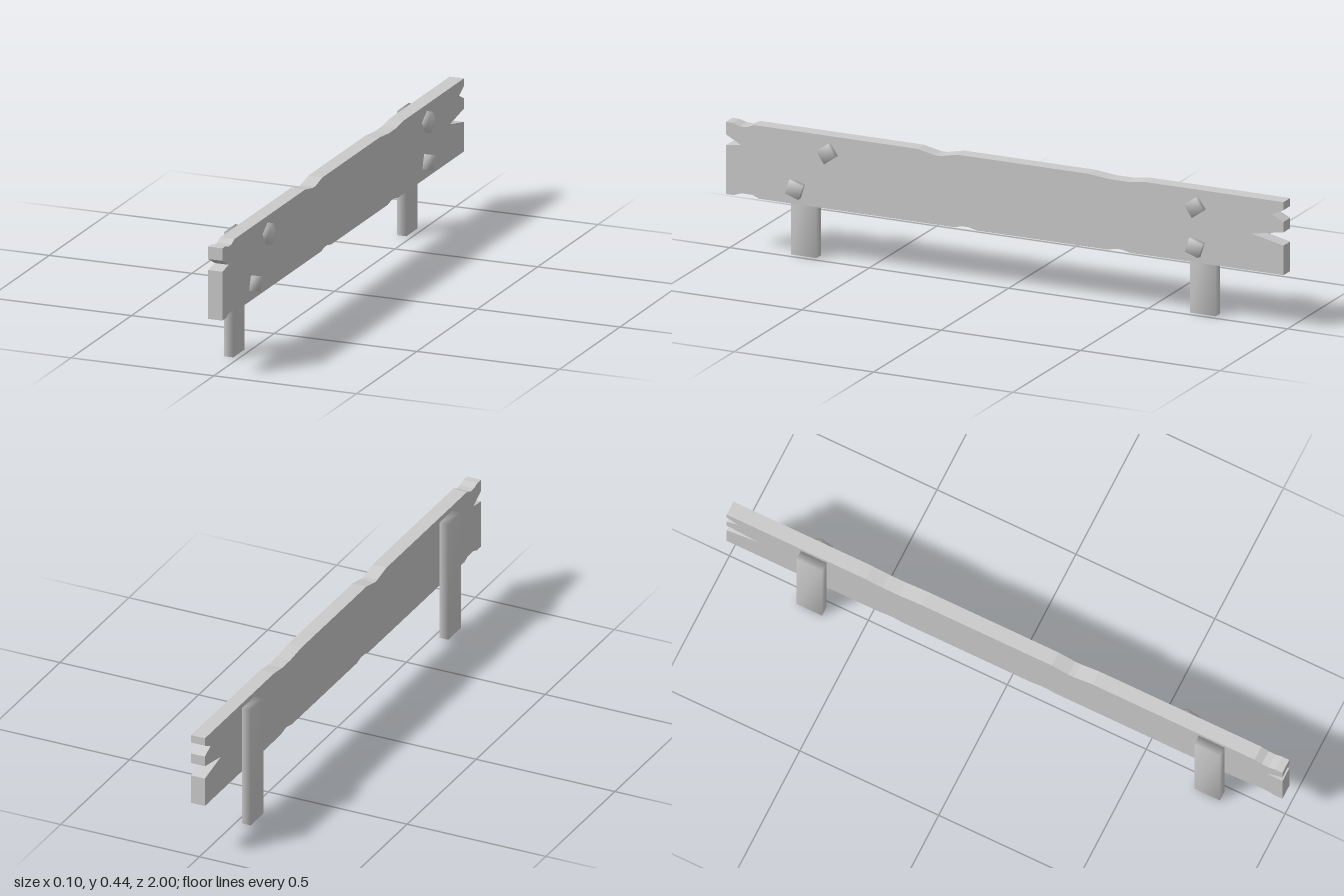
import * as THREE from 'three';
import { mergeVertices } from 'three/addons/utils/BufferGeometryUtils.js';

const material = new THREE.MeshStandardMaterial({ color: 0xcccccc });

// Box with shared corners, so its shading runs smoothly over the edges
function softBox(name, size, position, tilt = 0) {
  let geometry = new THREE.BoxGeometry(...size);
  geometry.deleteAttribute('normal');
  geometry.deleteAttribute('uv');
  geometry = mergeVertices(geometry);
  geometry.computeVertexNormals();
  const mesh = new THREE.Mesh(geometry, material);
  mesh.name = name;
  mesh.position.set(...position);
  mesh.rotation.x = THREE.MathUtils.degToRad(tilt);
  return mesh;
}

export function createModel() {
  const group = new THREE.Group();
  group.name = 'woodenBarrier';

  // Weathered plank outline as [z, y]
  const outline = [
    // worn lower edge
    [1, 0.19], [0.97, 0.19], [0.945, 0.2], [0.905, 0.2], [0.88, 0.19],
    [0.18, 0.19], [0.155, 0.197], [0.13, 0.197], [0.1, 0.19],
    [-0.37, 0.19], [-0.4, 0.197], [-0.42, 0.197], [-0.45, 0.19], [-1, 0.19],
    // two splits in the back end
    [-1, 0.29], [-0.885, 0.315], [-1, 0.335],
    [-1, 0.37], [-0.96, 0.39], [-1, 0.41], [-1, 0.437],
    // worn upper edge
    [-0.5, 0.437], [-0.44, 0.429], [-0.38, 0.429], [-0.3, 0.437],
    [0.17, 0.437], [0.23, 0.424], [0.25, 0.424], [0.315, 0.437],
    [0.9, 0.437], [0.925, 0.426], [0.95, 0.426], [0.975, 0.434], [1, 0.434],
    // split in the front end
    [1, 0.392], [0.945, 0.363], [1, 0.355],
  ];
  const shape = new THREE.Shape(outline.map(([z, y]) => new THREE.Vector2(-z, y)));
  const board = new THREE.ExtrudeGeometry(shape, { depth: 0.05, bevelEnabled: false });
  board.rotateY(Math.PI / 2);
  board.translate(-0.02, 0, 0);
  const plank = new THREE.Mesh(board, material);
  plank.name = 'plank';
  group.add(plank);

  // Posts behind the plank
  for (const [name, z] of [['frontPost', 0.745], ['backPost', -0.687]]) {
    group.add(softBox(name, [0.032, 0.42, 0.092], [-0.036, 0.21, z]));
  }

  // Square pegs on the plank face
  const pegs = [
    ['frontUpperPeg', 0.38, 0.632, 35],
    ['frontLowerPeg', 0.244, 0.747, -18],
    ['backUpperPeg', 0.38, -0.687, 35],
    ['backLowerPeg', 0.244, -0.687, -18],
  ];
  for (const [name, y, z, tilt] of pegs) {
    group.add(softBox(name, [0.03, 0.05, 0.05], [0.035, y, z], tilt));
  }

  return group;
}
